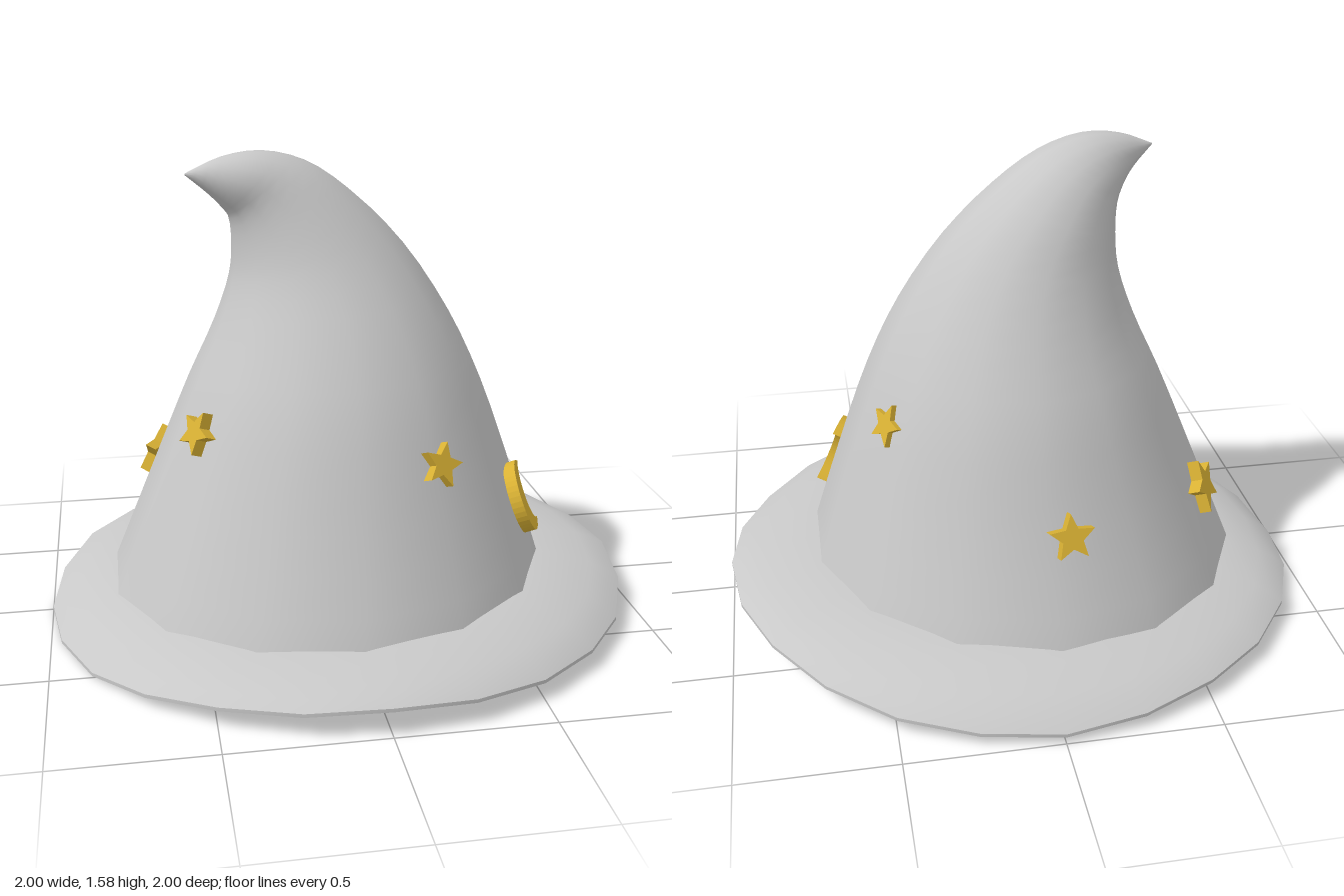
import * as THREE from 'three';

const felt = new THREE.MeshStandardMaterial({ color: 0xc8c8c8, side: THREE.DoubleSide });
felt.name = 'grey felt';
const gold = new THREE.MeshStandardMaterial({ color: 0xdab234 });
gold.name = 'gold';

// Smooth skin over closed rings; point(row, angle) returns [x, y, z]
function loft(rows, sides, point) {
  const pos = [], index = [];
  for (let i = 0; i < rows; i++) {
    for (let j = 0; j < sides; j++) pos.push(...point(i, (j / sides) * Math.PI * 2, j));
  }
  for (let i = 0; i < rows - 1; i++) {
    for (let j = 0; j < sides; j++) {
      const k = (j + 1) % sides;
      const a = i * sides + j, b = i * sides + k, c = a + sides, d = b + sides;
      index.push(a, c, b, b, c, d);
    }
  }
  const geo = new THREE.BufferGeometry();
  geo.setAttribute('position', new THREE.Float32BufferAttribute(pos, 3));
  geo.setIndex(index);
  geo.computeVertexNormals();
  return geo;
}

function part(name, geometry, material) {
  const mesh = new THREE.Mesh(geometry, material);
  mesh.name = name;
  return mesh;
}

// Crown rings: left x, left y, right x, right y, centre z, half depth
const RINGS = [
  [-0.80, 0.11, 0.72, 0.14, 0.005, 0.765],
  [-0.65, 0.476, 0.61, 0.476, 0.01, 0.625],
  [-0.51, 0.81, 0.49, 0.81, 0.01, 0.50],
  [-0.417, 1.01, 0.375, 1.05, 0.01, 0.39],
  [-0.362, 1.17, 0.22, 1.28, 0.005, 0.285],
  [-0.352, 1.28, 0.05, 1.45, 0.01, 0.215],
  [-0.362, 1.37, -0.10, 1.55, 0.03, 0.16],
  [-0.39, 1.415, -0.25, 1.59, 0.065, 0.115],
  [-0.43, 1.46, -0.385, 1.577, 0.095, 0.062],
  [-0.503, 1.525, -0.503, 1.53, 0.12, 0.002],
];

function crown() {
  const curve = (f) => new THREE.CatmullRomCurve3(RINGS.map((r) => new THREE.Vector3(...f(r))));
  const left = curve((r) => [r[0], r[1], r[4]]);
  const right = curve((r) => [r[2], r[3], r[5]]);
  const rows = 28;
  return loft(rows, 14, (i, a) => {
    const t = i / (rows - 1);
    const l = left.getPoint(t), r = right.getPoint(t);
    const ang = a + Math.PI / 2; // a corner faces front and back
    const m = (1 + Math.cos(ang)) / 2;
    return [l.x + (r.x - l.x) * m, l.y + (r.y - l.y) * m, l.z + r.z * Math.sin(ang)];
  });
}

// Height of the wavy brim edge every 30 degrees, from +x towards +z
const EDGE = [0.10, 0.055, 0.06, 0.09, 0.065, 0.01, 0.005, 0.055, 0.06, 0.03, 0.055, 0.1];
const SIDES = 24;
const edgeAt = (j) => (EDGE[Math.floor(j / 2)] + EDGE[Math.ceil(j / 2) % 12]) / 2;

// Brim profiles: radius, blend from the edge height to the inner height, lift
function brim(profile) {
  return loft(profile.length, SIDES, (i, a, j) => {
    const [r, blend, lift] = profile[i];
    const inner = 0.165 + 0.02 * Math.cos(a);
    const y = THREE.MathUtils.lerp(edgeAt(j), inner, blend) + lift;
    return [r * Math.cos(a), Math.max(0, y), r * Math.sin(a)];
  });
}

function starGeometry(radius) {
  const pts = [];
  for (let k = 0; k < 10; k++) {
    const a = Math.PI / 2 + (k * Math.PI) / 5;
    const r = k % 2 ? radius * 0.45 : radius;
    pts.push(new THREE.Vector2(r * Math.cos(a), r * Math.sin(a)));
  }
  return plate(new THREE.Shape(pts));
}

function moonGeometry() {
  const s = new THREE.Shape();
  s.absarc(0, 0, 0.1235, 1.016, Math.PI * 2 - 1.016, false);
  s.absarc(0.0753, 0, 0.105, 4.614, 1.669, true);
  return plate(s);
}

function plate(shape) {
  const geo = new THREE.ExtrudeGeometry(shape, { depth: 0.04, bevelEnabled: false, curveSegments: 14 });
  return geo.translate(0, 0, -0.02);
}

// Lay a charm against the sloping crown, facing outwards
function place(mesh, x, y, z, roll) {
  mesh.position.set(x, y, z);
  mesh.rotation.set(-0.37, Math.atan2(x + 0.02, z), roll, 'YXZ');
  return mesh;
}

export function createModel() {
  const hat = new THREE.Group();
  hat.name = 'pointedHat';
  hat.add(part('crown', crown(), felt));

  // Brim with a hole for the head
  const brimGroup = new THREE.Group();
  brimGroup.name = 'brim';
  brimGroup.add(
    part('brimTop', brim([[1, 0, 0.012], [0.96, 0.25, 0.012], [0.9, 0.55, 0.008], [0.8, 0.87, 0], [0.7, 1, 0], [0.62, 1, 0]]), felt),
    part('brimHole', brim([[0.62, 1, 0], [0.62, 1, -0.05]]), felt),
    part('brimUnderside', brim([[0.62, 1, -0.05], [0.75, 0.9, -0.04], [0.88, 0.5, -0.02], [1, 0, 0]]), felt),
    part('brimEdge', brim([[1, 0, 0], [1, 0, 0.012]]), felt),
  );
  hat.add(brimGroup);

  // Stars: x, y, z, radius, roll
  const stars = [
    [0.245, 0.655, 0.515, 0.074, -0.43],
    [-0.495, 0.72, 0.27, 0.074, -0.3],
    [-0.605, 0.46, -0.33, 0.095, 0.1],
    [-0.085, 0.5, -0.63, 0.078, 0],
    [0.44, 0.74, -0.24, 0.073, -0.14],
  ];
  for (const [x, y, z, r, roll] of stars) hat.add(place(part('star', starGeometry(r), gold), x, y, z, roll));
  hat.add(place(part('crescentMoon', moonGeometry(), gold), 0.605, 0.41, 0.225, -0.06));
  return hat;
}
